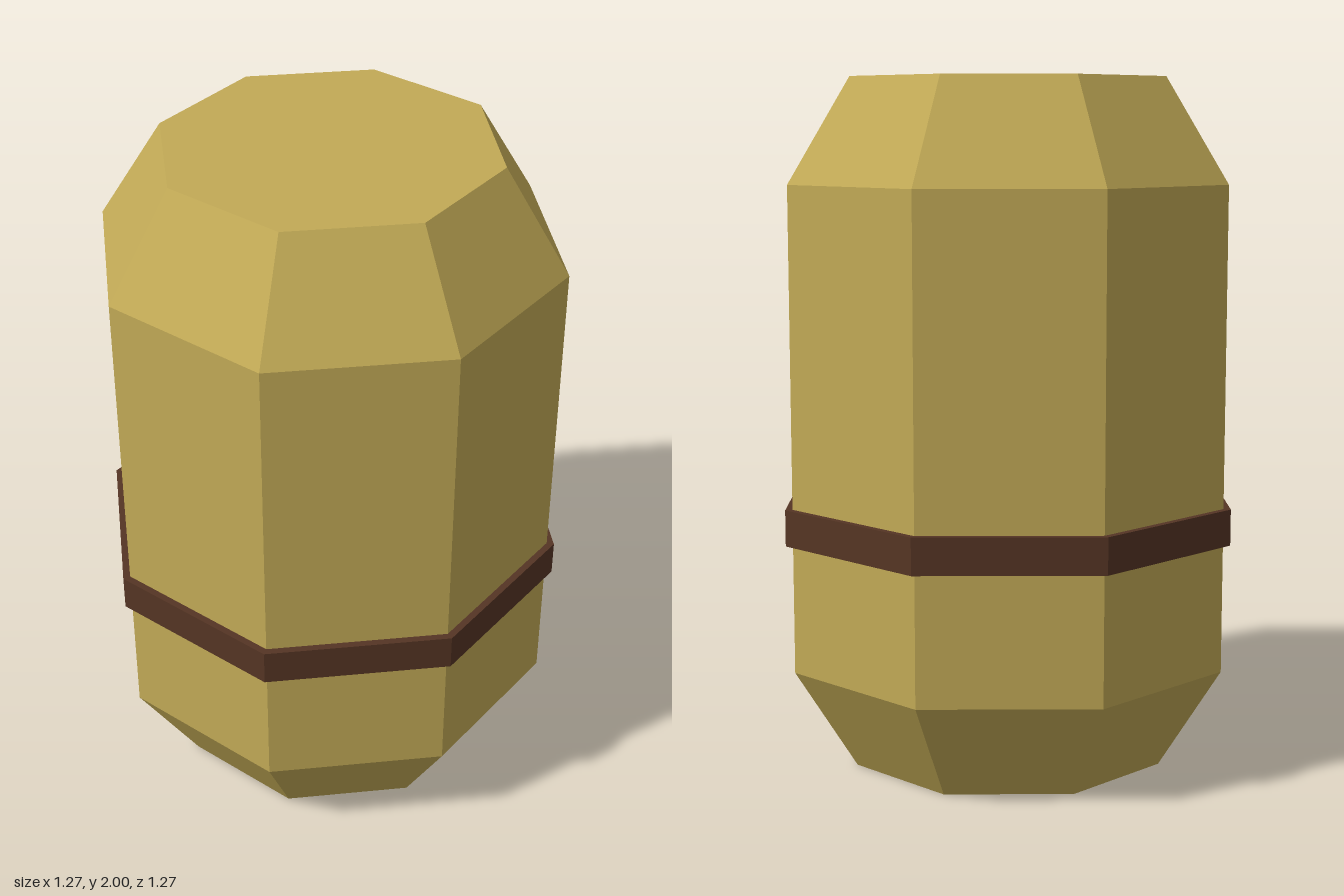
import * as THREE from 'three';

const SIDES = 8;
// Converts the distance to a flat side into the distance to a corner
const toCorner = 1 / Math.cos(Math.PI / SIDES);

const wood = new THREE.MeshStandardMaterial({ color: 0xc2aa56 });
wood.name = 'ochre';
const strap = new THREE.MeshStandardMaterial({ color: 0x553524 });
strap.name = 'dark brown';

// Faceted octagonal solid from a profile of [flat radius, y], listed bottom to top
function octagonal(name, profile, material) {
  const points = profile.map(([r, y]) => new THREE.Vector2(r * toCorner, y));
  const geometry = new THREE.LatheGeometry(points, SIDES, Math.PI / SIDES).toNonIndexed();
  geometry.computeVertexNormals();
  const mesh = new THREE.Mesh(geometry, material);
  mesh.name = name;
  return mesh;
}

export function createModel() {
  const model = new THREE.Group();
  model.name = 'barrel';

  // Body with tapered ends and flat lids
  model.add(octagonal('body', [
    [0, 0], [0.443, 0], [0.615, 0.3], [0.615, 1.7], [0.443, 2], [0, 2],
  ], wood));

  // Raised band around the lower half
  model.add(octagonal('band', [
    [0.61, 0.675], [0.635, 0.675], [0.635, 0.78], [0.61, 0.78],
  ], strap));

  return model;
}
